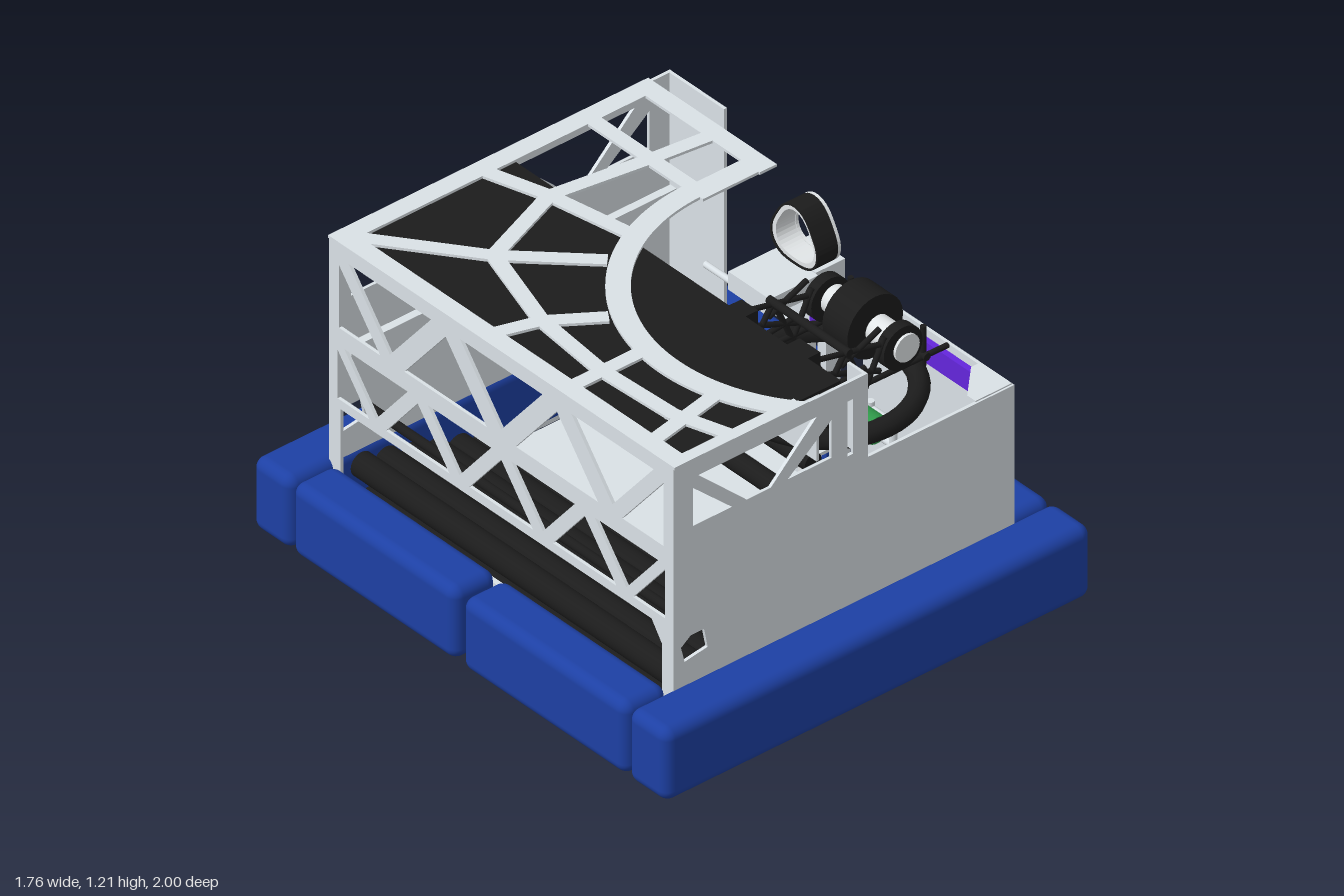
import * as THREE from 'three';
import { RoundedBoxGeometry } from 'three/addons/geometries/RoundedBoxGeometry.js';

const mat = (name, color) => Object.assign(new THREE.MeshStandardMaterial({ color }), { name });

export function createModel() {
  const root = new THREE.Group();
  root.name = 'robot';
  const grey = mat('sheet metal', 0xdae1e6), black = mat('black', 0x1c1c1c), blue = mat('bumper blue', 0x1d40a4);
  const green = mat('green', 0x30994a), purple = mat('purple', 0x6426dc), tyre = mat('tyre grey', 0x545454);
  const silver = mat('silver', 0xe6eaec);

  const add = (name, geo, m) => {
    const o = new THREE.Mesh(geo, m);
    o.name = name;
    root.add(o);
    return o;
  };
  // box given by its lower and upper limits on each axis
  const box = (name, m, x0, x1, y0, y1, z0, z1) =>
    add(name, new THREE.BoxGeometry(x1 - x0, y1 - y0, z1 - z0), m)
      .position.set((x0 + x1) / 2, (y0 + y1) / 2, (z0 + z1) / 2);
  // round bar between two points
  const bar = (name, m, a, b, r, sides = 10) => {
    const p = new THREE.Vector3(...a), q = new THREE.Vector3(...b), d = q.clone().sub(p);
    const o = add(name, new THREE.CylinderGeometry(r, r, d.length(), sides), m);
    o.position.copy(p).add(q).multiplyScalar(0.5);
    o.quaternion.setFromUnitVectors(new THREE.Vector3(0, 1, 0), d.normalize());
  };
  const roller = (name, m, x, y, z0, z1, r) => bar(name, m, [x, y, z0], [x, y, z1], r, 28);
  const pts = a => a.map(p => new THREE.Vector2(...p));
  const sheet = (outline, holes = [], depth = 0.012) => {
    const s = new THREE.Shape(pts(outline));
    holes.forEach(h => s.holes.push(new THREE.Path(pts(h))));
    return new THREE.ExtrudeGeometry(s, { depth, bevelEnabled: false, curveSegments: 40 });
  };
  // horizontal sheet drawn in x and z
  const flat = (name, m, y, outline) => {
    const o = add(name, sheet(outline), m);
    o.rotation.x = Math.PI / 2;
    o.position.y = y;
  };
  // zigzag truss: alternating triangular openings
  const truss = (x0, x1, y0, y1, n, k) => Array.from({ length: n + 1 }, (_, i) => {
    const p = (x1 - x0) / n, at = j => x0 + Math.min(n, Math.max(0, j)) * p;
    const [base, apex] = i % 2 ? [y1, y0] : [y0, y1];
    const t = [[at(i - 1), base], [at(i + 1), base], [at(i), apex]];
    const cx = (t[0][0] + t[1][0] + t[2][0]) / 3, cy = (2 * base + apex) / 3;
    return t.map(([x, y]) => [cx + (x - cx) * k, cy + (y - cy) * k]);
  });

  // bumpers: x, z limits
  [[-0.88, 0.88, 0.81, 1], [-0.88, 0.88, -1, -0.815], [0.7, 0.88, -0.81, -0.2], [0.7, 0.88, 0.11, 0.803],
    [-0.88, -0.7, -0.81, -0.02], [-0.88, -0.7, 0.01, 0.803]].forEach(([x0, x1, z0, z1]) =>
    add('bumper', new RoundedBoxGeometry(x1 - x0, 0.275, z1 - z0, 4, 0.04), blue)
      .position.set((x0 + x1) / 2, 0.2185, (z0 + z1) / 2));

  // base plate, drive wheels with covers and pads
  box('basePlate', grey, -0.7, 0.7, 0.075, 0.09, -0.81, 0.81);
  for (const sx of [-1, 1]) for (const sz of [-1, 1]) {
    roller('driveWheel', tyre, sx * 0.55, 0.105, sz * 0.6, sz * 0.73, 0.105);
    const cx = sx * 0.55, cz = sz * 0.665;
    box('wheelCover', grey, cx - 0.12, cx + 0.12, 0.09, 0.22, cz - 0.08, cz + 0.08);
    flat('wheelPad', grey, 0.077, [[0.35, 0.57], [0.7, 0.57], [0.7, 0.77], [0.42, 0.77], [0.35, 0.7]]
      .map(([x, z]) => [sx * x, sz * z]));
  }

  // front and back panels
  const cornerHole = [[-0.67, 0.5], [-0.655, 0.44], [-0.56, 0.455], [-0.575, 0.53], [-0.63, 0.53]];
  const windows = dx => [[[-0.62, 1.09], [-0.62, 0.945], [-0.46, 0.945]],
    [[-0.6, 1.13], [-0.11, 1.13], [-0.3, 0.945], [-0.4, 0.945]],
    [[-0.05, 1.09], [-0.05, 0.945], [-0.23, 0.945]]].map(h => h.map(([x, y]) => [x + dx, y]));
  add('frontPanel', sheet([[-0.7, 0.08], [0.705, 0.08], [0.705, 0.88], [0.1, 0.88], [0.1, 1.2], [-0.7, 1.2]],
    [...windows(0), cornerHole, [[0.017, 0.92], [0.04, 0.92], [0.04, 1.13], [0.017, 1.13]]]), grey).position.z = 0.815;
  box('frontPostFlange', grey, 0.088, 0.1, 0.88, 1.2, 0.74, 0.82);
  add('backPanel', sheet([[-0.7, 0.08], [0.705, 0.08], [0.705, 1.2], [-0.7, 1.2]],
    [...windows(0), ...windows(0.66), cornerHole]), grey).position.z = -0.835;

  // side panels, drawn in z and y
  const side = (name, x, outline, holes) => {
    const o = add(name, sheet(outline, holes), grey);
    o.rotation.y = -Math.PI / 2;
    o.position.x = x;
  };
  side('rightTruss', -0.688, [[-0.83, 0.08], [-0.78, 0.08], [-0.78, 0.57], [0.72, 0.57], [0.77, 0.5], [0.77, 0.08],
    [0.82, 0.08], [0.82, 1.2], [-0.83, 1.2]],
  [...truss(-0.81, 0.8, 0.85, 1.175, 6, 0.74), ...truss(-0.81, 0.8, 0.585, 0.83, 8, 0.76)]);
  side('leftFrontPanel', 0.705, [[0.11, 0.08], [0.825, 0.08], [0.825, 0.88], [0.11, 0.88]]);
  side('leftBackPanel', 0.705, [[-0.83, 0.08], [-0.56, 0.08], [-0.56, 1.2], [-0.83, 1.2]]);
  box('bumperRail', grey, -0.7, -0.68, 0.1, 0.3, -0.8, 0.8);
  flat('cornerGusset', grey, 0.885, [[0.55, 0.82], [0.55, 0.78], [0.66, 0.67], [0.7, 0.67], [0.7, 0.82]]);

  // top web frame: straight strips, then the curved rim
  const strip = (w, ...path) => path.slice(1).forEach((b, i) => {
    const a = path[i], dx = b[0] - a[0], dz = b[1] - a[1];
    const o = add('topWeb', new THREE.BoxGeometry(Math.hypot(dx, dz) + w * 0.5, 0.01, w), grey);
    o.position.set((a[0] + b[0]) / 2, 1.2, (a[1] + b[1]) / 2);
    o.rotation.y = -Math.atan2(dz, dx);
  });
  box('topEdge', grey, -0.7, -0.63, 1.195, 1.205, -0.84, 0.83);
  box('topEdge', grey, -0.7, 0.62, 1.195, 1.205, -0.84, -0.77);
  box('topEdge', grey, -0.7, -0.17, 1.195, 1.205, 0.785, 0.83);
  box('topEdge', grey, 0.55, 0.62, 1.195, 1.205, -0.84, -0.22);
  box('topEdge', grey, 0.32, 0.62, 1.195, 1.205, -0.31, -0.225);
  strip(0.055, [0.6, -0.47], [0.34, -0.5], [-0.03, -0.555], [-0.375, -0.42], [-0.49, -0.06], [-0.525, 0.27], [-0.51, 0.6], [-0.45, 0.79]);
  strip(0.055, [-0.1, -0.79], [-0.03, -0.555], [0.03, -0.22]);
  strip(0.055, [-0.65, -0.79], [-0.375, -0.42], [-0.13, -0.18]);
  strip(0.055, [-0.65, -0.1], [-0.49, -0.05], [-0.33, 0.06]);
  strip(0.055, [-0.65, 0.28], [-0.36, 0.28]);
  strip(0.055, [-0.65, 0.67], [-0.3, 0.6]);
  strip(0.055, [0.34, -0.79], [0.34, -0.28]);
  const deg = Math.PI / 180, rim = new THREE.Shape();
  rim.absarc(0.33, 0.4, 0.72, 143.3 * deg, 272 * deg, false);
  rim.absarc(0.33, 0.4, 0.64, 272 * deg, 137.8 * deg, true);
  const rimMesh = add('topRim', new THREE.ExtrudeGeometry(rim, { depth: 0.01, bevelEnabled: false, curveSegments: 40 }), grey);
  rimMesh.rotation.x = Math.PI / 2;
  rimMesh.position.y = 1.205;
  box('topSkin', black, -0.64, 0.02, 1.18, 1.19, -0.8, 0.79);

  // intake rollers beneath the truss and conveyor rollers inside
  [[-0.63, 0.34, 0.045], [-0.53, 0.31, 0.05], [-0.43, 0.28, 0.05], [-0.33, 0.25, 0.05], [-0.23, 0.22, 0.05],
    [-0.13, 0.2, 0.05], [-0.6, 0.2, 0.04], [-0.6, 0.545, 0.016]]
    .forEach(([x, y, r]) => roller('intakeRoller', black, x, y, -0.76, 0.74, r));
  [0.08, 0.18, 0.29].forEach(x => roller('conveyorRoller', black, x, 0.74, -0.65, -0.08, 0.035));
  [0.13, 0.235].forEach(x => box('conveyorRail', grey, x - 0.012, x + 0.012, 0.66, 0.69, -0.78, -0.05));
  box('crossRail', grey, -0.68, 0.66, 0.78, 0.81, -0.78, -0.75);
  flat('electronics', black, 0.24, [[0.38, -0.78], [0.67, -0.78], [0.67, -0.43], [0.55, -0.43], [0.38, -0.6]]);
  bar('electronicsCap', silver, [0.55, 0.24, -0.67], [0.55, 0.26, -0.67], 0.06, 28);
  for (const [x, y] of [[0.3, 0.5], [0.2, 0.42]]) roller('lowerShaft', black, x, y, -0.36, 0.33, 0.035);

  // deck behind the tower with blue brackets below it
  box('deck', grey, 0.35, 0.6, 0.3, 0.312, -0.35, 0.1);
  for (const z of [0.065, -0.2]) box('blueBracket', blue, 0.56, 0.64, 0.2, 0.29, z, z + 0.025);

  // turret ring, green spindle and guide strip
  const ring = add('turretRing', new THREE.TorusGeometry(0.295, 0.036, 10, 48), black);
  ring.rotation.x = Math.PI / 2;
  ring.position.set(0.29, 0.84, 0.4);
  roller('greenSpindle', green, 0.29, 0.8, 0.2, 0.65, 0.05);
  bar('greenHub', green, [0.015, 1.02, 0.41], [0.045, 1.02, 0.41], 0.085, 28);
  [[0.51, 0.07], [0.665, 0.29], [0.665, 0.77]].forEach((b, i, path) => {
    if (!i) return;
    const a = path[i - 1], dx = b[0] - a[0], dz = b[1] - a[1];
    const o = add('guideStrip', new THREE.BoxGeometry(Math.hypot(dx, dz), 0.08, 0.022), purple);
    o.position.set((a[0] + b[0]) / 2, 0.83, (a[1] + b[1]) / 2);
    o.rotation.y = -Math.atan2(dz, dx);
  });

  // shooter: wheels on a silver drum in a tube frame
  roller('shooterWheel', black, 0.44, 1.03, 0.345, 0.465, 0.115);
  roller('shooterDrum', silver, 0.45, 1.02, 0.2, 0.61, 0.05);
  for (const z of [0.23, 0.58]) {
    roller('sideWheel', black, 0.44, 1.02, z - 0.02, z + 0.02, 0.08);
    [[0.04, 0.94, 0.64, 0.93], [0.05, 1.13, 0.36, 1.06], [0.1, 0.92, 0.22, 1.1], [0.22, 1.1, 0.3, 0.92],
      [0.3, 0.92, 0.38, 1.08], [0.1, 1.06, 0.36, 0.96], [0.12, 0.98, 0.3, 1.0], [0.1, 1.1, 0.2, 0.92],
      [0.2, 1.05, 0.36, 1.12], [0.54, 0.9, 0.54, 1.05]]
      .forEach(([x0, y0, x1, y1]) => bar('shooterFrame', black, [x0, y0, z], [x1, y1, z], 0.01));
  }
  [[0.06, 0.94], [0.54, 0.94], [0.22, 1.1]].forEach(([x, y]) => roller('frameTie', black, x, y, 0.21, 0.6, 0.014));
  for (const [z0, z1] of [[0.51, 0.61], [0.23, 0.31]]) {
    box('shooterArm', black, 0.03, 0.09, 0.88, 1.17, z0, z1);
    box('shooterMotor', black, 0.03, 0.13, 0.84, 0.9, z0, z1);
  }
  box('shooterBackPlate', grey, -0.02, -0.01, 0.86, 1.14, 0.2, 0.72);

  // climbing tower on the left side
  [[0, 0.04], [-0.13, -0.09]].forEach(([z0, z1]) => box('towerPost', grey, 0.6, 0.66, 0.1, 0.72, z0, z1));
  box('towerCore', silver, 0.58, 0.61, 0.1, 0.72, -0.07, -0.02);
  box('towerHead', grey, 0.56, 0.68, 0.71, 0.955, -0.13, 0.04);
  box('towerWindow', silver, 0.68, 0.685, 0.87, 0.935, -0.11, 0.025);
  box('towerBadge', blue, 0.68, 0.686, 0.74, 0.83, -0.09, 0);
  box('towerFoot', grey, 0.6, 0.7, 0.18, 0.29, -0.13, 0.04);
  box('sideBracket', grey, 0.36, 0.56, 0.88, 0.95, -0.15, 0.05);
  for (const y of [0.42, 0.5]) bar('towerCrossBar', grey, [0.63, y, 0.33], [0.63, y, -0.35], 0.015);
  for (const z of [0.33, 0.22, 0.12, -0.2, -0.35]) bar('towerRod', grey, [0.63, 0.4, z], [0.63, z < -0.3 ? 0.64 : 0.53, z], 0.014);
  for (const y of [0.42, 0.6]) add('towerKnob', new THREE.SphereGeometry(0.024, 14, 10), grey).position.set(0.63, y, -0.35);
  bar('towerArm', grey, [0.6, 0.66, -0.09], [0.6, 0.66, -0.54], 0.012);

  // rounded triangular belt loop on the tower
  const outline = k => Array.from({ length: 48 }, (_, i) => {
    const a = i * Math.PI / 24, r = k * (0.112 - 0.01 * Math.sin(3 * a));
    return [r * Math.cos(a), r * Math.sin(a)];
  });
  [['loopTread', black, 1, 0.94, 0.54, 0.625], ['loopRim', silver, 1, 0.78, 0.625, 0.637], ['loopCore', silver, 0.95, 0.8, 0.545, 0.625]]
    .forEach(([name, m, k, inner, x0, x1]) => {
      const o = add(name, sheet(outline(k), [outline(inner)], x1 - x0), m);
      o.rotation.y = -Math.PI / 2;
      o.position.set(x1, 1.055, -0.045);
    });
  return root;
}
